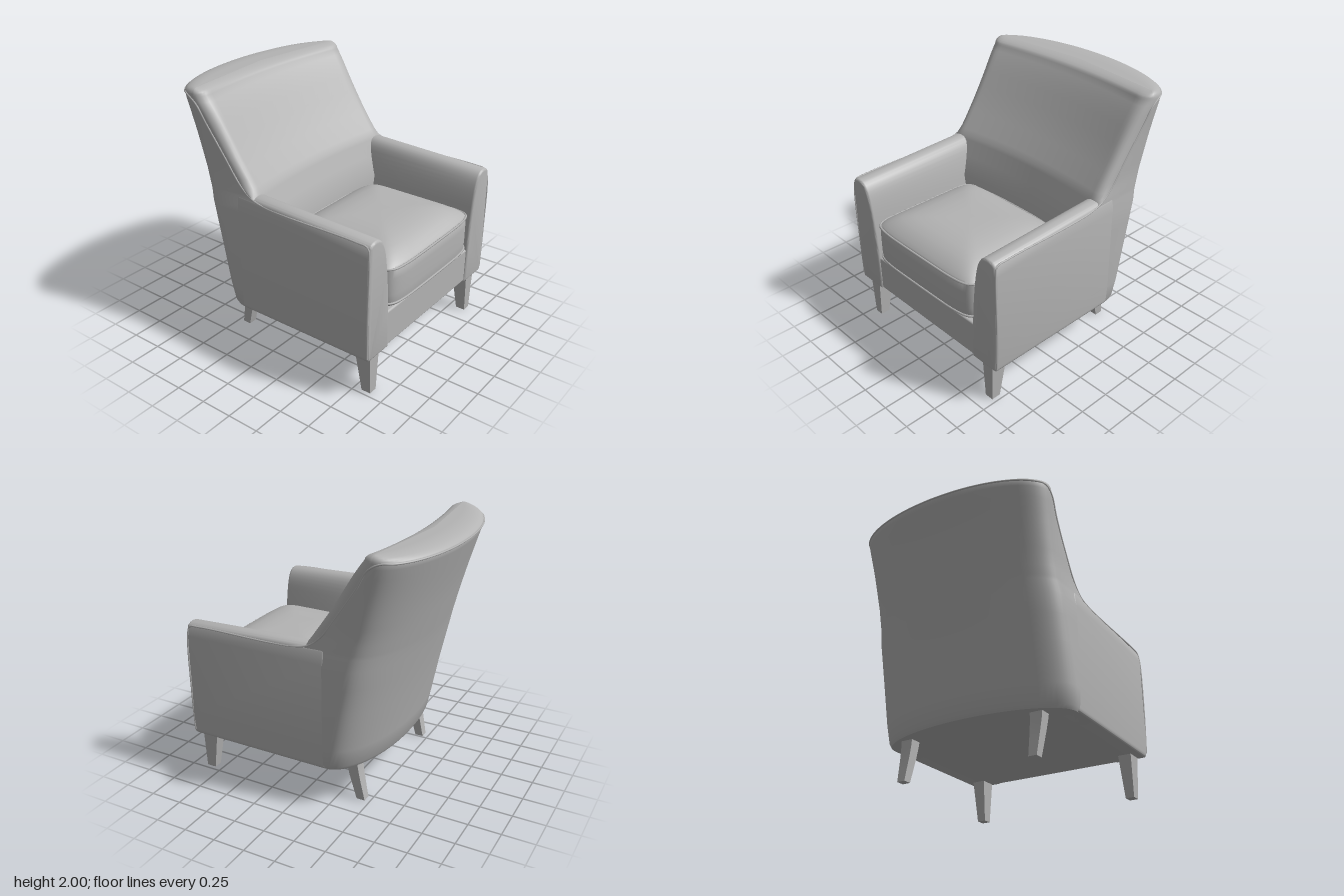
import * as THREE from 'three';
import { toCreasedNormals } from 'three/addons/utils/BufferGeometryUtils.js';
import { RoundedBoxGeometry } from 'three/addons/geometries/RoundedBoxGeometry.js';

const V = (x, y, z) => new THREE.Vector3(x, y, z);

// Piecewise-linear lookup in a list of [key, value]
function lookup(table, k) {
  if (k <= table[0][0]) return table[0][1];
  for (let i = 1; i < table.length; i++) {
    const [a, va] = table[i - 1], [b, vb] = table[i];
    if (k <= b) return va + (vb - va) * (k - a) / (b - a);
  }
  return table[table.length - 1][1];
}

// Skin closed rings (counter-clockwise from above, stacked upward), ends capped
function loft(rings, crease) {
  const n = rings[0].length;
  const centre = r => r.reduce((s, p) => s.add(p), V(0, 0, 0)).divideScalar(n);
  const pts = rings.flat(), index = [];
  for (let r = 0; r < rings.length - 1; r++) {
    for (let i = 0; i < n; i++) {
      const j = (i + 1) % n, a = r * n + i, b = r * n + j;
      index.push(a, b, b + n, a, b + n, a + n);
    }
  }
  const top = (rings.length - 1) * n, c0 = pts.length;
  pts.push(centre(rings[0]), centre(rings[rings.length - 1]));
  for (let i = 0; i < n; i++) {
    const j = (i + 1) % n;
    index.push(c0, j, i, c0 + 1, top + i, top + j);
  }
  const g = new THREE.BufferGeometry().setFromPoints(pts);
  g.setIndex(index);
  return toCreasedNormals(g, crease);
}

// Half width, wing edge, front face, corner and rear of the body by height
const WIDTH = [[0.33, 0.785], [0.36, 0.8], [0.5, 0.81], [1.15, 0.808], [1.24, 0.795], [1.4, 0.79], [1.7, 0.802], [1.9, 0.82]];
const EDGE = [[1.24, -0.05], [1.27, -0.1], [1.34, -0.2], [1.54, -0.35], [1.76, -0.5], [1.91, -0.59], [1.95, -0.61]];
const FRONT = [[0.33, 0.0], [1.0, 0.015], [1.3, -0.1], [1.56, -0.28], [1.74, -0.39], [1.87, -0.47], [1.95, -0.53]];
const CORNER = [[0.33, -0.25], [1.2, -0.43], [1.95, -0.62]];
const REAR = [[0.33, -0.55], [0.36, -0.57], [0.8, -0.655], [1.2, -0.745], [1.6, -0.85], [1.95, -0.955]];

// Horizontal section of the body; f shrinks it toward its middle line for the top roll
function bodyRing(y, f = 1, rise = 0) {
  const w = lookup(WIDTH, y), zF = lookup(FRONT, y), zE = Math.min(lookup(EDGE, y), zF);
  const zC = lookup(CORNER, y), zR = lookup(REAR, y), lip = 0.73, M = 40;
  const front = [], back = [];
  for (let i = 0; i <= M; i++) {
    const a = Math.PI * (1 - i / M), x = w * Math.cos(a), d = Math.abs(x);
    const roll = Math.sqrt(Math.max(0, 1 - ((d - lip) / (w - lip)) ** 2));
    const zf = d < lip ? zF - 0.06 * (1 - (d / lip) ** 2) : zE + (zF - zE) * roll;
    const zb = zC + (zR - zC) * Math.sin(a);
    const mid = (zf + zb) / 2, px = x * (1 - 0.05 * (1 - f));
    front.push(V(px, y + rise, mid + (zf - mid) * f));
    back.unshift(V(px, y + rise, mid + (zb - mid) * f));
  }
  return [...front, ...back];
}

function bodyGeometry() {
  const heights = [0.33, 0.36, 0.5, 0.8, 1.0, 1.15, 1.24, 1.27, 1.3, 1.34, 1.4, 1.47, 1.54, 1.65, 1.76, 1.84, 1.91, 1.95];
  const rings = heights.map(y => bodyRing(y));
  for (let k = 1; k <= 6; k++) {
    const a = k / 6 * Math.PI / 2;
    rings.push(bodyRing(1.95, Math.cos(a), 0.05 * Math.sin(a)));
  }
  return loft(rings, 0.8);
}

// Arm: front profile pushed back, its top rising toward the back
function armGeometry() {
  const s = new THREE.Shape();
  s.moveTo(0.55, 0.33);
  s.lineTo(0.785, 0.33);
  s.quadraticCurveTo(0.8, 0.335, 0.801, 0.37);
  s.lineTo(0.81, 0.5);
  s.lineTo(0.808, 1.15);
  s.lineTo(0.797, 1.22);
  s.quadraticCurveTo(0.785, 1.255, 0.72, 1.255);
  s.bezierCurveTo(0.63, 1.25, 0.61, 1.13, 0.592, 1.02);
  s.bezierCurveTo(0.575, 0.9, 0.56, 0.75, 0.555, 0.6);
  s.closePath();
  const b = 0.018;
  const g = new THREE.ExtrudeGeometry(s, {
    depth: 1.134, steps: 1, curveSegments: 10,
    bevelEnabled: true, bevelThickness: b, bevelSize: b, bevelOffset: -b, bevelSegments: 3,
  });
  g.translate(0, 0, -0.232);
  const p = g.attributes.position;
  for (let i = 0; i < p.count; i++) {
    const lift = THREE.MathUtils.smoothstep(p.getY(i), 1.1, 1.25);
    p.setY(i, p.getY(i) + 0.035 * lift * (0.92 - p.getZ(i)));
  }
  g.deleteAttribute('normal');
  g.deleteAttribute('uv');
  return toCreasedNormals(g, 0.7);
}

// Rounded-square outline of the cushion, bowed at the front and rear
function cushionRing(s, y) {
  const ring = [], n = 64;
  const sq = c => Math.sign(c) * Math.abs(c) ** 0.2;
  for (let i = 0; i < n; i++) {
    const a = (i + 0.5) / n * Math.PI * 2;
    const u = sq(Math.cos(a)), v = -sq(Math.sin(a));
    ring.push(V(0.56 * s * u, y, 0.45 + s * v * (0.475 + 0.022 * (1 - u * u))));
  }
  return ring;
}

function cushionGeometry() {
  const rings = [[0.86, 0.615], [0.95, 0.625], [0.985, 0.64], [0.995, 0.66], [1, 0.73], [1, 0.86], [0.995, 0.935]]
    .map(([s, y]) => cushionRing(s, y));
  for (const s of [0.97, 0.92, 0.84, 0.74, 0.6, 0.4, 0.2]) rings.push(cushionRing(s, 0.935 + 0.12 * (1 - s ** 4)));
  return loft(rings, 0.8);
}

// Seam cord along the arm fronts, arm tops, wings and top of the back
function shellPiping() {
  const half = [
    V(0.8, 0.36, 0.91), V(0.808, 0.7, 0.912), V(0.803, 1.15, 0.912), V(0.795, 1.225, 0.895), V(0.795, 1.238, 0.8),
    V(0.795, 1.24, 0.2), V(0.793, 1.25, 0), V(0.79, 1.28, -0.12), V(0.79, 1.36, -0.22), V(0.795, 1.54, -0.35),
    V(0.807, 1.76, -0.5), V(0.82, 1.9, -0.585)];
  for (let a = 8; a < 90; a += 13.5) {
    const r = a * Math.PI / 180;
    half.push(V(0.82 * Math.cos(r), 1.95, -0.62 - 0.335 * Math.sin(r)));
  }
  const other = half.map(p => V(-p.x, p.y, p.z)).reverse();
  const path = new THREE.CatmullRomCurve3([...half, V(0, 1.95, -0.955), ...other]);
  return new THREE.TubeGeometry(path, 260, 0.007, 6);
}

// Square tapered leg from rows of [y, x0, x1, z0, z1]
function legGeometry(rows) {
  return loft(rows.map(([y, x0, x1, z0, z1]) => [V(x0, y, z1), V(x1, y, z1), V(x1, y, z0), V(x0, y, z0)]), 0.4);
}

export function createModel() {
  const model = new THREE.Group();
  model.name = 'armchair';
  const fabric = new THREE.MeshStandardMaterial({ color: 0xb4b4b4 });
  fabric.name = 'lightGrey';
  const add = (name, geometry) => {
    const m = new THREE.Mesh(geometry, fabric);
    m.name = name;
    model.add(m);
    return m;
  };
  // Mirrored copy with the winding turned round
  const mirrored = geometry => {
    const g = geometry.clone().scale(-1, 1, 1);
    for (const attr of Object.values(g.attributes)) {
      for (let i = 0; i < attr.count; i += 3) {
        const a = [attr.getX(i), attr.getY(i), attr.getZ(i)];
        attr.setXYZ(i, attr.getX(i + 1), attr.getY(i + 1), attr.getZ(i + 1));
        attr.setXYZ(i + 1, ...a);
      }
    }
    return g;
  };
  const addPair = (name, geometry) => {
    add('left' + name, geometry);
    add('right' + name, mirrored(geometry));
  };

  add('backrest', bodyGeometry());
  addPair('Arm', armGeometry());
  add('seatBase', new RoundedBoxGeometry(1.14, 0.285, 1.2, 3, 0.015)).position.set(0, 0.4725, 0.305);
  add('seatCushion', cushionGeometry());
  add('shellPiping', shellPiping());

  // Cords round the cushion
  for (const [name, y] of [['upperCushionPiping', 0.935], ['lowerCushionPiping', 0.66]]) {
    const path = new THREE.CatmullRomCurve3(cushionRing(0.998, y), true);
    add(name, new THREE.TubeGeometry(path, 200, 0.009, 6, true));
  }

  // Straight front legs and swept rear legs
  addPair('FrontLeg', legGeometry([[0, 0.645, 0.715, 0.81, 0.885], [0.34, 0.625, 0.732, 0.757, 0.89]]));
  addPair('RearLeg', legGeometry([
    [0, 0.515, 0.58, -0.46, -0.393], [0.1, 0.512, 0.586, -0.441, -0.366],
    [0.2, 0.508, 0.592, -0.422, -0.34], [0.28, 0.505, 0.598, -0.411, -0.324], [0.34, 0.502, 0.602, -0.408, -0.315]]));
  return model;
}
